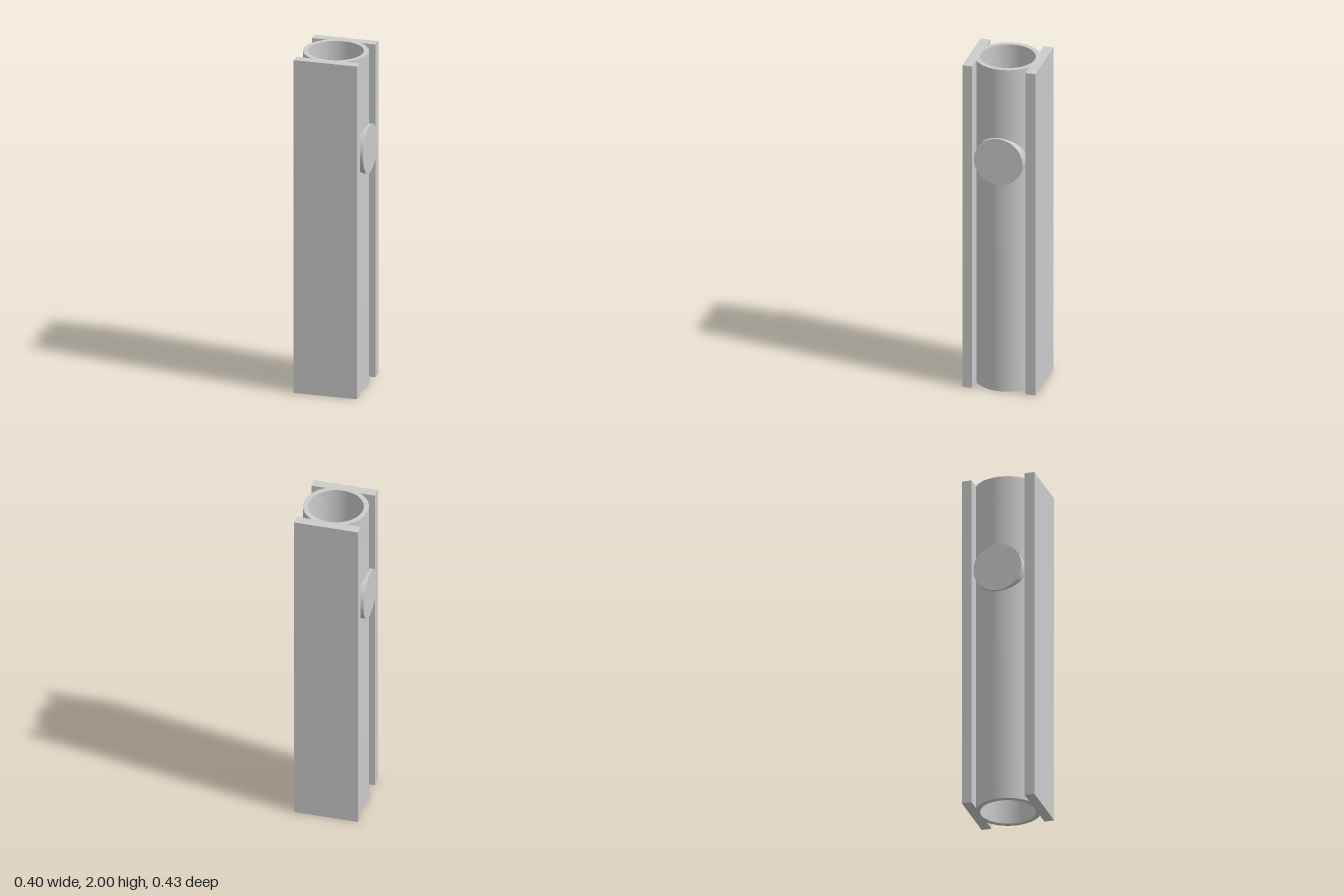
import * as THREE from 'three';
import { toCreasedNormals } from 'three/addons/utils/BufferGeometryUtils.js';

const HEIGHT = 2, OUTER = 0.186, INNER = 0.157;
const PLATE_FACE = 0.214, PIN_R = 0.142, PIN_Y = 1.432, PIN_END = 0.2;

export function createModel() {
  const group = new THREE.Group();
  const material = new THREE.MeshStandardMaterial({ color: 0xcccccc });
  const add = (name, geometry) => {
    const mesh = new THREE.Mesh(geometry, material);
    mesh.name = name;
    group.add(mesh);
    return mesh;
  };

  // Open tube running the full height
  const ring = new THREE.Shape().absarc(0, 0, OUTER, 0, Math.PI * 2);
  ring.holes.push(new THREE.Path().absarc(0, 0, INNER, 0, Math.PI * 2, true));
  const tube = new THREE.ExtrudeGeometry(ring, { depth: HEIGHT, bevelEnabled: false, curveSegments: 32 });
  tube.rotateX(-Math.PI / 2);
  add('tube', toCreasedNormals(tube, 0.5));

  // Flat plates in front and behind, tangent to the bore
  const depth = PLATE_FACE - INNER;
  for (const [name, s] of [['frontPlate', 1], ['backPlate', -1]]) {
    add(name, new THREE.BoxGeometry(OUTER * 2, HEIGHT, depth))
      .position.set(0, HEIGHT / 2, s * (INNER + depth / 2));
  }

  // Round bosses on both sides, their inner ends shaped to sit within the tube wall
  const wall = (OUTER + INNER) / 2;
  for (const [name, turn] of [['leftBoss', 0], ['rightBoss', Math.PI]]) {
    const side = new THREE.CylinderGeometry(PIN_R, PIN_R, PIN_END, 48, 1, true);
    side.rotateZ(-Math.PI / 2).translate(PIN_END / 2, 0, 0);
    const p = side.attributes.position;
    for (let i = 0; i < p.count; i++) {
      if (p.getX(i) < PIN_END / 2) p.setX(i, Math.sqrt(wall ** 2 - p.getZ(i) ** 2));
    }
    const cap = new THREE.CircleGeometry(PIN_R, 48).rotateY(Math.PI / 2).translate(PIN_END, 0, 0);
    for (const [part, geometry] of [['Side', side], ['Face', cap]]) {
      const mesh = add(name + part, geometry);
      mesh.rotation.y = turn;
      mesh.position.y = PIN_Y;
    }
  }
  return group;
}
